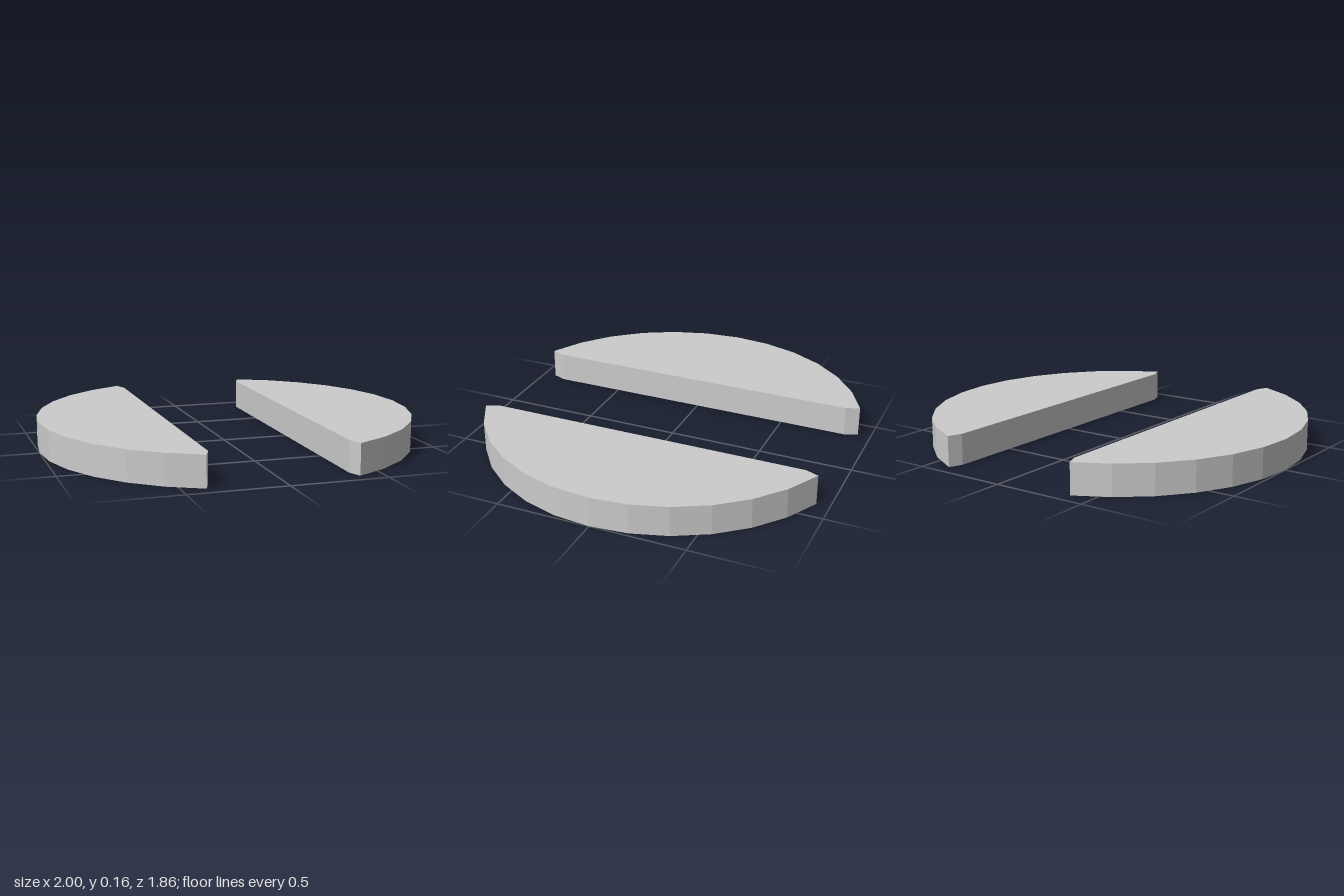
import * as THREE from 'three';

const HEIGHT = 0.16;
const STEP = Math.PI / 16; // 32-sided rim
const Z_STRETCH = 1.007;

// Half-disc slab: faceted outer arc, clipped corners, straight inner edge
function slabGeometry(side) {
  const outline = [new THREE.Vector2(side * 0.355, -0.86)];
  for (let i = -6; i <= 6; i++) {
    outline.push(new THREE.Vector2(side * Math.cos(i * STEP), Z_STRETCH * Math.sin(i * STEP)));
  }
  outline.push(new THREE.Vector2(side * 0.355, 0.86));
  const geometry = new THREE.ExtrudeGeometry(new THREE.Shape(outline), { depth: HEIGHT, bevelEnabled: false });
  return geometry.rotateX(-Math.PI / 2); // lay flat, thickness upwards
}

export function createModel() {
  const model = new THREE.Group();
  model.name = 'splitDisc';
  const material = new THREE.MeshStandardMaterial({ color: 0xcccccc, flatShading: true });

  // Mirrored pair with a gap between the straight edges
  for (const [name, side] of [['leftHalfDisc', 1], ['rightHalfDisc', -1]]) {
    const slab = new THREE.Mesh(slabGeometry(side), material);
    slab.name = name;
    model.add(slab);
  }
  return model;
}
